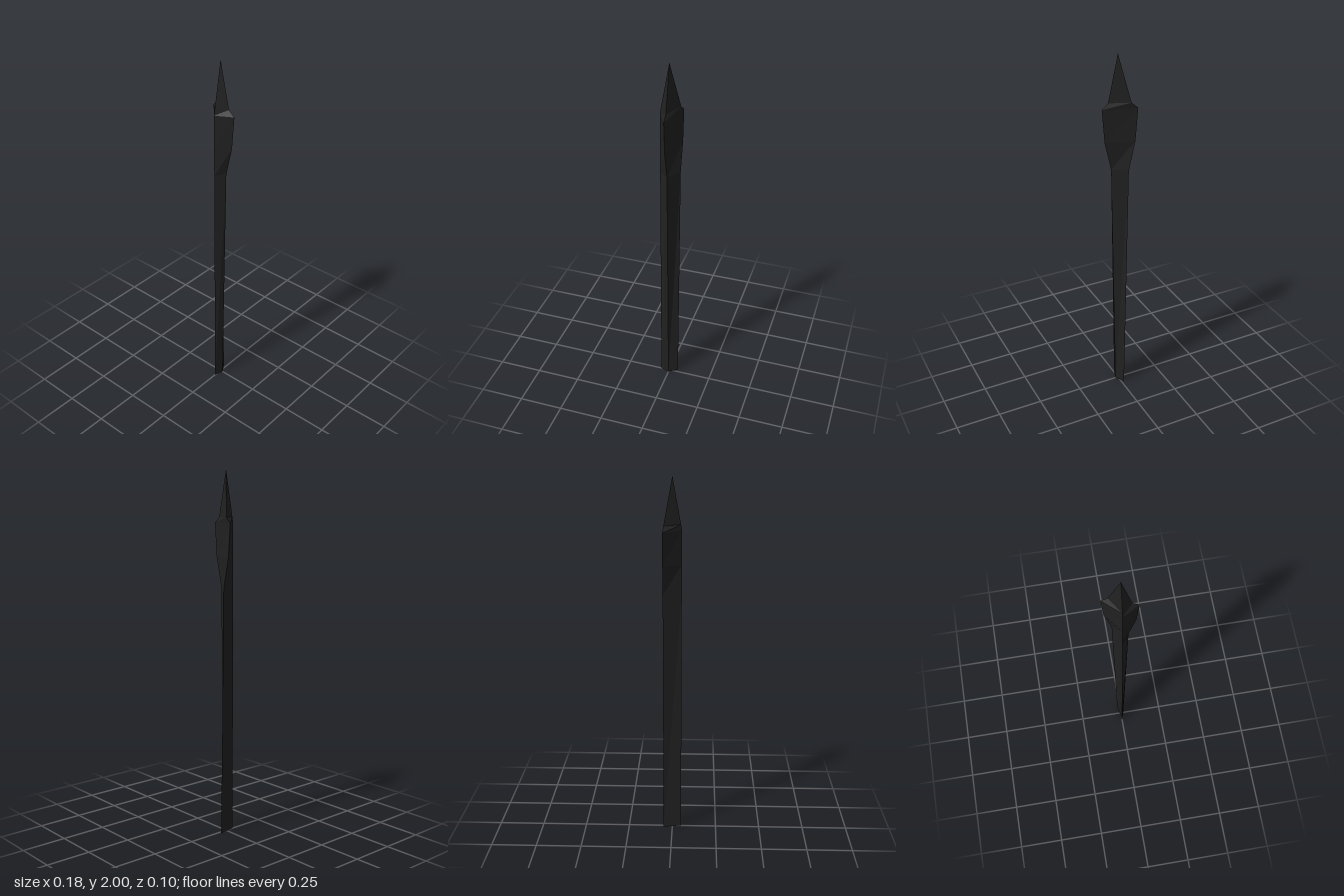
import * as THREE from 'three';

// Three corners of a section at height y: half width w, half depth d.
// Listed counter-clockwise as seen from above.
function section([y, w, d]) {
  return [
    [-w, y, -d], // back left edge
    [0, y, d],   // front ridge
    [w, y, 0],   // side edge
  ];
}

// Skins a stack of triangular sections; a last section of zero width is a point.
function loft(profile, capBottom) {
  const rings = profile.map(section);
  const pos = [];
  const tri = (...corners) => corners.forEach((c) => pos.push(...c));

  for (let k = 0; k < rings.length - 1; k++) {
    const lo = rings[k], hi = rings[k + 1];
    for (let i = 0; i < 3; i++) {
      const j = (i + 1) % 3;
      tri(lo[i], lo[j], hi[j]);
      if (profile[k + 1][1] > 0) tri(lo[i], hi[j], hi[i]);
    }
  }
  if (capBottom) tri(rings[0][0], rings[0][2], rings[0][1]);

  const geometry = new THREE.BufferGeometry();
  geometry.setAttribute('position', new THREE.Float32BufferAttribute(pos, 3));
  geometry.computeVertexNormals();
  return geometry;
}

export function createModel() {
  const group = new THREE.Group();
  group.name = 'spear';

  const charcoal = new THREE.MeshStandardMaterial({ color: 0x212121 });
  charcoal.name = 'charcoal';
  charcoal.flatShading = true;

  const add = (name, geometry) => {
    const mesh = new THREE.Mesh(geometry, charcoal);
    mesh.name = name;
    group.add(mesh);
  };

  // Long shaft widening upward: [height, half width, half depth]
  add('shaft', loft([[0, 0.016, 0.05], [1.38, 0.039, 0.05]], true));

  // Flared head with stepped shoulders
  add('head', loft([
    [1.38, 0.039, 0.05],
    [1.54, 0.076, 0.05],
    [1.72, 0.09, 0.05],
    [1.75, 0.055, 0.045],
  ], false));

  // Pointed tip
  add('tip', loft([[1.75, 0.055, 0.045], [2, 0, 0]], false));

  return group;
}
